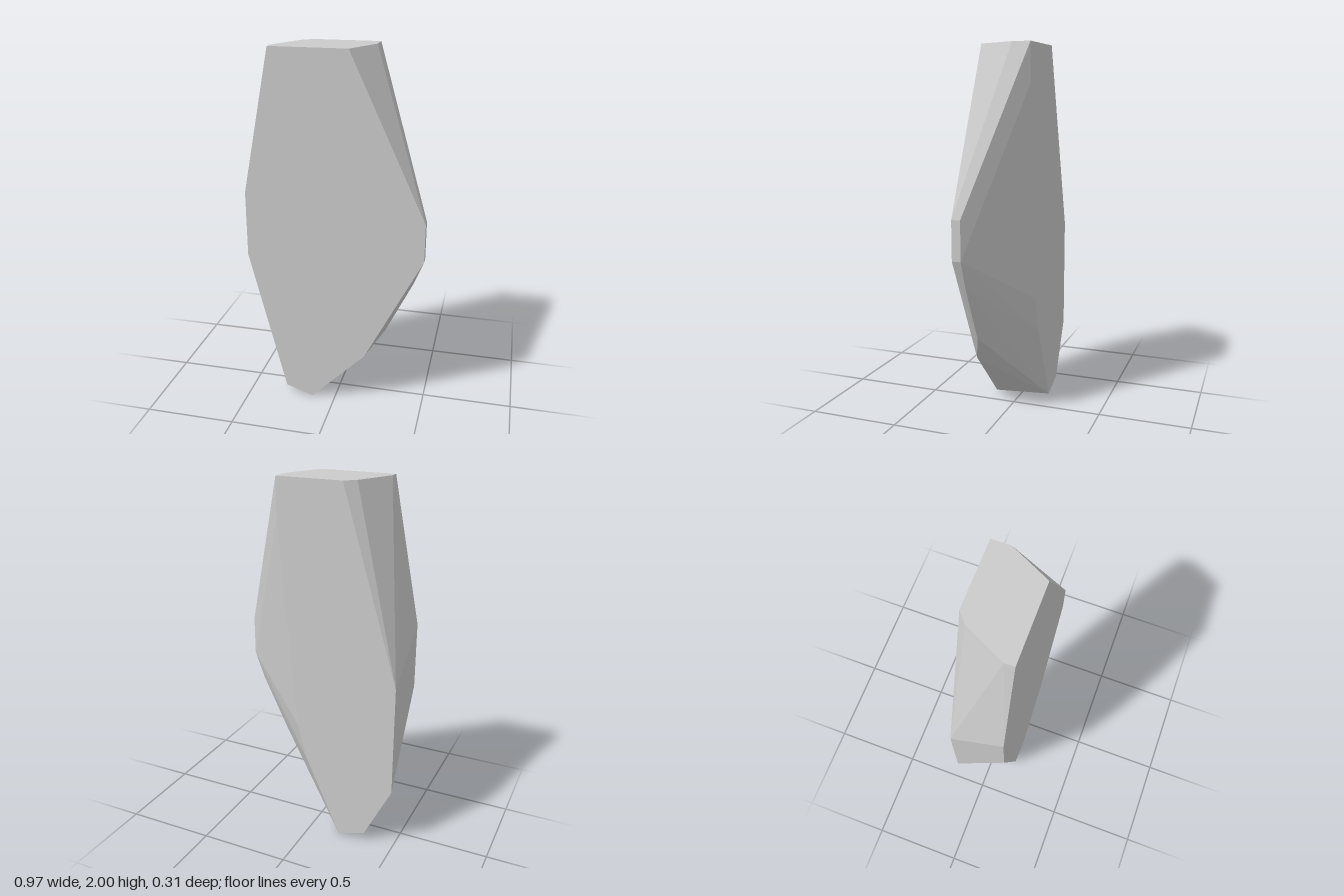
import * as THREE from 'three';
import { ConvexGeometry } from 'three/addons/geometries/ConvexGeometry.js';

const FRONT = 0.153, BACK = -0.153;

// Outline of the flat front face (x, y)
const frontOutline = [
  [-0.335, 2], [0.077, 2], [0.485, 1.13], [0.485, 0.92], [0.175, 0.31],
  [-0.13, 0], [-0.285, 0.05], [-0.487, 0.87], [-0.487, 1.23],
];

// Outline of the flat back face (x, y)
const backOutline = [
  [-0.18, 2], [0.18, 2], [0.18, 1.79], [0.077, 0.65], [0.026, 0.455],
  [-0.18, 0], [-0.333, 0.05], [-0.487, 0.36], [-0.487, 0.975],
];

// Chipped corners lying between the two faces (x, y, z)
const chips = [
  [0.18, 2, -0.055], [-0.235, 2, -0.105], [-0.335, 2, 0.103], // top rim
  [0.485, 1.13, 0.105], [0.485, 0.92, 0.105], [0.43, 0.77, 0.105], [0.28, 0.46, 0.105], // side edge
  [-0.285, 0, -0.005], // foot
];

export function createModel() {
  const group = new THREE.Group();
  group.name = 'stoneShard';

  const points = [
    ...frontOutline.map(([x, y]) => new THREE.Vector3(x, y, FRONT)),
    ...backOutline.map(([x, y]) => new THREE.Vector3(x, y, BACK)),
    ...chips.map((p) => new THREE.Vector3(...p)),
  ];

  // Faceted slab of rock
  const material = new THREE.MeshStandardMaterial({ color: 0xcccccc, flatShading: true });
  const rock = new THREE.Mesh(new ConvexGeometry(points), material);
  rock.name = 'rock';
  group.add(rock);
  return group;
}
